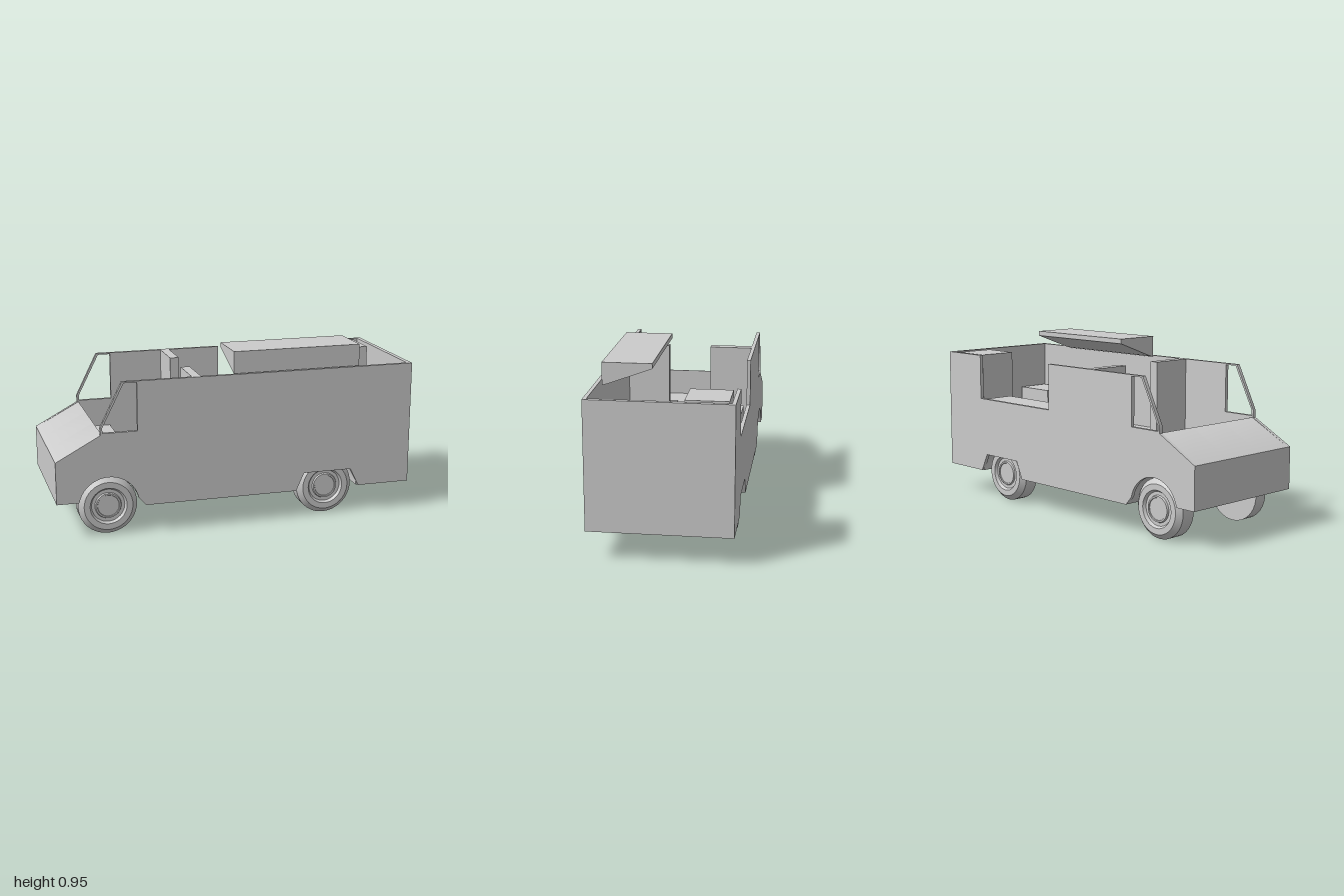
import * as THREE from 'three';
import { toCreasedNormals } from 'three/addons/utils/BufferGeometryUtils.js';

const HALF = 0.376, INNER = 0.356, FLOOR = 0.41;
const FRONT_X = -0.72, REAR_X = 0.51, AXLE_Y = 0.165;

export function createModel() {
  const model = new THREE.Group();
  const material = new THREE.MeshStandardMaterial({ color: 0xcccccc });

  const add = (name, geometry) => {
    const mesh = new THREE.Mesh(geometry, material);
    mesh.name = name;
    model.add(mesh);
    return mesh;
  };
  const box = (name, x0, x1, y0, y1, z0, z1) =>
    add(name, new THREE.BoxGeometry(x1 - x0, y1 - y0, z1 - z0))
      .position.set((x0 + x1) / 2, (y0 + y1) / 2, (z0 + z1) / 2);
  const outline = (points) => new THREE.Shape(points.map(([x, y]) => new THREE.Vector2(x, y)));
  // Side profile stretched between two z positions
  const slab = (name, points, z0, z1, hole) => {
    const shape = outline(points);
    if (hole) shape.holes.push(outline(hole));
    const g = new THREE.ExtrudeGeometry(shape, { depth: z1 - z0, bevelEnabled: false });
    g.translate(0, 0, z0);
    add(name, toCreasedNormals(g, 0.5));
  };
  // Wheel arch points from rear to front, starting and ending at height y
  const arch = (cx, r, y) => {
    const a0 = Math.asin((y - AXLE_Y) / r), n = 20;
    return Array.from({ length: n + 1 }, (_, i) => {
      const a = a0 + (Math.PI - 2 * a0) * i / n;
      return [cx + r * Math.cos(a), AXLE_Y + r * Math.sin(a)];
    });
  };

  // Lower body with rounded wheel channels, bonnet and floor
  const underside = [
    [0.99, 0.155], ...arch(REAR_X, 0.18, 0.155),
    [-0.52, 0.155], ...arch(FRONT_X, 0.17, 0.2), [-1, 0.2],
  ];
  const bonnet = [[-1, 0.43], [-0.755, 0.56], [-0.75, 0.56], [-0.75, FLOOR]];
  const stepWell = [[-0.57, FLOOR], [-0.55, 0.3], [-0.55, 0.24], [-0.52, 0.18], [-0.26, 0.18], [-0.26, FLOOR]];
  slab('lowerBody', [...underside, ...bonnet, [0.99, FLOOR]], -0.12, 0.12);
  for (const [z0, z1] of [[0.12, 0.366], [-0.366, -0.12]]) {
    slab('lowerBodySide', [...underside, ...bonnet, ...stepWell, [0.99, FLOOR]], z0, z1);
  }

  // Thin side walls with cab windows; one has the serving opening
  const sill = [
    [1, 0.155], [0.7, 0.155], [0.65, 0.255], [0.375, 0.255], [0.33, 0.155],
    [-0.52, 0.155], ...arch(FRONT_X, 0.164, 0.2),
    [-1, 0.2], [-1, 0.43], [-0.76, 0.56], [-0.76, 0.6], [-0.64, 0.84],
  ];
  const cabWindow = [[-0.748, 0.57], [-0.56, 0.57], [-0.56, 0.832], [-0.63, 0.832], [-0.748, 0.6]];
  const serving = [[0.09, 0.84], [0.09, 0.585], [0.7, 0.585], [0.7, 0.84]];
  slab('sideWall', [...sill, [1, 0.84]], INNER, HALF, cabWindow);
  slab('servingSideWall', [...sill, ...serving, [1, 0.84]], -HALF, -INNER, cabWindow);
  box('rearWall', 0.975, 1, 0.155, 0.84, -HALF, HALF);
  box('nosePanel', -1, -0.99, 0.2, 0.43, -HALF, HALF);

  // Partitions behind the cab
  box('partition', -0.26, -0.21, 0.18, 0.84, 0.12, INNER);
  box('partition', -0.26, -0.21, 0.18, 0.84, -INNER, -0.12);

  // Kitchen fittings
  box('servingCounter', 0.09, 0.69, FLOOR, 0.58, -0.34, -0.165);
  box('tallCabinet', 0.72, 0.94, FLOOR, 0.838, -0.34, -0.12);
  box('cornerCabinet', 0.71, 0.96, FLOOR, 0.58, 0.15, 0.335);
  box('grill', 0.35, 0.53, FLOOR, 0.6, 0.09, 0.335);
  box('fryer', 0.16, 0.335, FLOOR, 0.595, 0.09, 0.335);

  // Extractor hood, its cross-section run along x
  const hood = new THREE.ExtrudeGeometry(
    outline([[-0.335, 0.835], [-0.3, 0.845], [-0.075, 0.928], [-0.075, 0.955], [-0.335, 0.955]]),
    { depth: 0.72, bevelEnabled: false });
  hood.rotateY(Math.PI / 2).translate(-0.02, 0, 0);
  add('extractorHood', hood);

  // Wheels
  const tyre = [
    [0, 0], [0.16, 0], [0.16, 0.078], [0.132, 0.105], [0.1, 0.105], [0.09, 0.09],
    [0.072, 0.09], [0.068, 0.1], [0.06, 0.1], [0.058, 0.096], [0, 0.096],
  ].map(([r, h]) => new THREE.Vector2(r, h));
  const wheel = toCreasedNormals(new THREE.LatheGeometry(tyre, 40), 0.5);
  for (const x of [FRONT_X, REAR_X]) {
    for (const side of [1, -1]) {
      const mesh = add(x < 0 ? 'frontWheel' : 'rearWheel', wheel);
      mesh.rotation.x = side * Math.PI / 2;
      mesh.position.set(x, 0.16, side * 0.247);
    }
  }
  return model;
}
